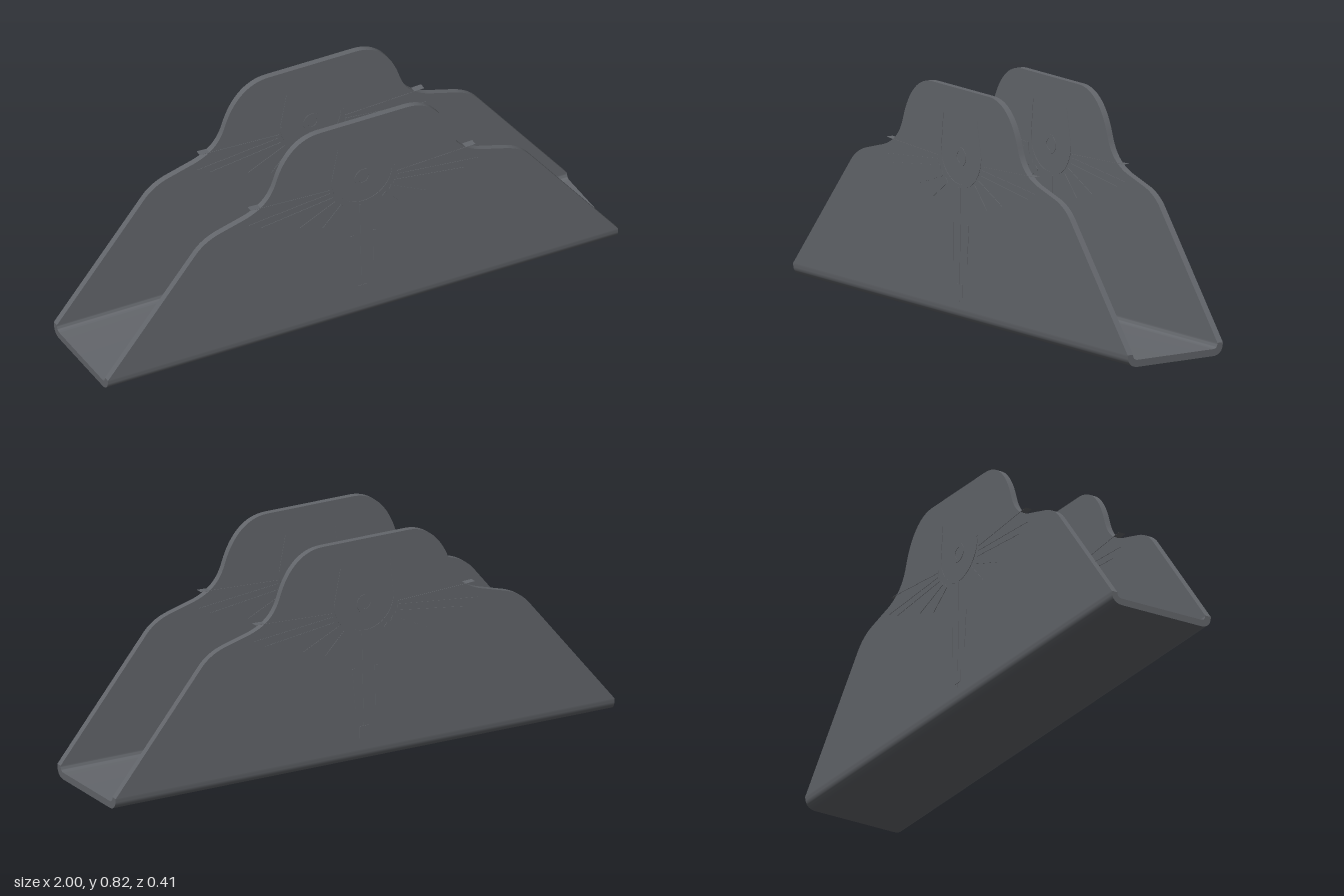
import * as THREE from 'three';
import { toCreasedNormals } from 'three/addons/utils/BufferGeometryUtils.js';

const material = new THREE.MeshStandardMaterial({ color: 0x63666b });
const INNER = 0.18, OUTER = 0.203, FOLD = 0.045;

function extrude(shape, depth, curveSegments = 12) {
  const geo = new THREE.ExtrudeGeometry(shape, { depth, bevelEnabled: false, curveSegments });
  return toCreasedNormals(geo, 0.6);
}

function part(name, geometry) {
  const mesh = new THREE.Mesh(geometry, material);
  mesh.name = name;
  return mesh;
}

// Folded floor: a shallow U section with rounded corners, run along x
function floorGeometry() {
  const s = new THREE.Shape();
  s.moveTo(-OUTER, FOLD);
  s.quadraticCurveTo(-OUTER, 0.001, -0.16, 0);
  s.lineTo(0.16, 0);
  s.quadraticCurveTo(OUTER, 0.001, OUTER, FOLD);
  s.lineTo(INNER, FOLD);
  s.quadraticCurveTo(INNER, 0.025, 0.16, 0.025);
  s.lineTo(-0.16, 0.025);
  s.quadraticCurveTo(-INNER, 0.025, -INNER, FOLD);
  s.closePath();
  return extrude(s, 2).translate(0, 0, -1).rotateY(Math.PI / 2);
}

// Side plate: sloped shoulders rising in an S-curve to a rounded top tab
function plateGeometry() {
  const s = new THREE.Shape();
  s.moveTo(-1, FOLD);
  s.lineTo(1, FOLD);
  s.lineTo(0.655, 0.468);
  s.quadraticCurveTo(0.62, 0.51, 0.56, 0.527);
  s.lineTo(0.46, 0.555);
  s.bezierCurveTo(0.39, 0.578, 0.36, 0.615, 0.342, 0.67);
  s.bezierCurveTo(0.31, 0.77, 0.25, 0.825, 0.17, 0.825);
  s.lineTo(-0.17, 0.825);
  s.bezierCurveTo(-0.25, 0.825, -0.31, 0.77, -0.342, 0.67);
  s.bezierCurveTo(-0.36, 0.615, -0.39, 0.578, -0.46, 0.555);
  s.lineTo(-0.56, 0.527);
  s.quadraticCurveTo(-0.62, 0.51, -0.655, 0.468);
  s.closePath();
  return extrude(s, OUTER - INNER, 16).translate(0, 0, INNER);
}

// Shallow relief that stands slightly proud of both faces of a plate
function relief(name, shape) {
  return part(name, extrude(shape, 0.026, 24).translate(0, 0, 0.1785));
}

// Tapered sliver from one point to another
function sliver(x0, y0, x1, y1, width) {
  const n = new THREE.Vector2(y0 - y1, x1 - x0).setLength(width / 2);
  return new THREE.Shape([
    new THREE.Vector2(x0 + n.x, y0 + n.y),
    new THREE.Vector2(x0 - n.x, y0 - n.y),
    new THREE.Vector2(x1, y1),
  ]);
}

function createSide() {
  const side = new THREE.Group();
  side.add(part('plate', plateGeometry()));

  // Small ring at the centre of the relief
  const ring = new THREE.Shape().absarc(0, 0.585, 0.034, 0, Math.PI * 2, false);
  ring.holes.push(new THREE.Path().absarc(0, 0.585, 0.02, 0, Math.PI * 2, true));
  side.add(relief('ring', ring));

  // Curved rim below the ring
  const rim = new THREE.Shape();
  rim.absarc(0, 0.6, 0.125, Math.PI, Math.PI * 2, false);
  rim.absarc(0, 0.6, 0.113, Math.PI * 2, Math.PI, true);
  rim.closePath();
  side.add(relief('rim', rim));

  // Mirrored rays and upright ridges: start x, y, end x, y, width
  const rays = [
    [0.13, 0.565, 0.44, 0.585, 0.012],
    [0.13, 0.55, 0.45, 0.525, 0.016],
    [0.12, 0.53, 0.4, 0.5, 0.014],
    [0.105, 0.51, 0.25, 0.45, 0.018],
    [0.08, 0.49, 0.16, 0.42, 0.02],
    [0.119, 0.6, 0.1, 0.73, 0.012],
  ];
  for (const m of [1, -1]) {
    for (const [x0, y0, x1, y1, w] of rays) {
      side.add(relief('ray', sliver(m * x0, y0, m * x1, y1, w)));
    }
    side.add(relief('sideLine', sliver(m * 0.045, 0.35, m * 0.04, 0.2, 0.014)));
  }

  // Long centre line ending in a small block
  side.add(relief('centreLine', sliver(-0.005, 0.475, -0.005, 0.07, 0.018)));
  side.add(part('block', new THREE.BoxGeometry(0.035, 0.045, 0.026).translate(-0.005, 0.11, 0.1915)));
  return side;
}

export function createModel() {
  const model = new THREE.Group();
  model.name = 'channelBracket';
  model.add(part('floor', floorGeometry()));
  const front = createSide();
  front.name = 'frontSide';
  const back = createSide();
  back.name = 'backSide';
  back.rotation.y = Math.PI;
  model.add(front, back);
  return model;
}
